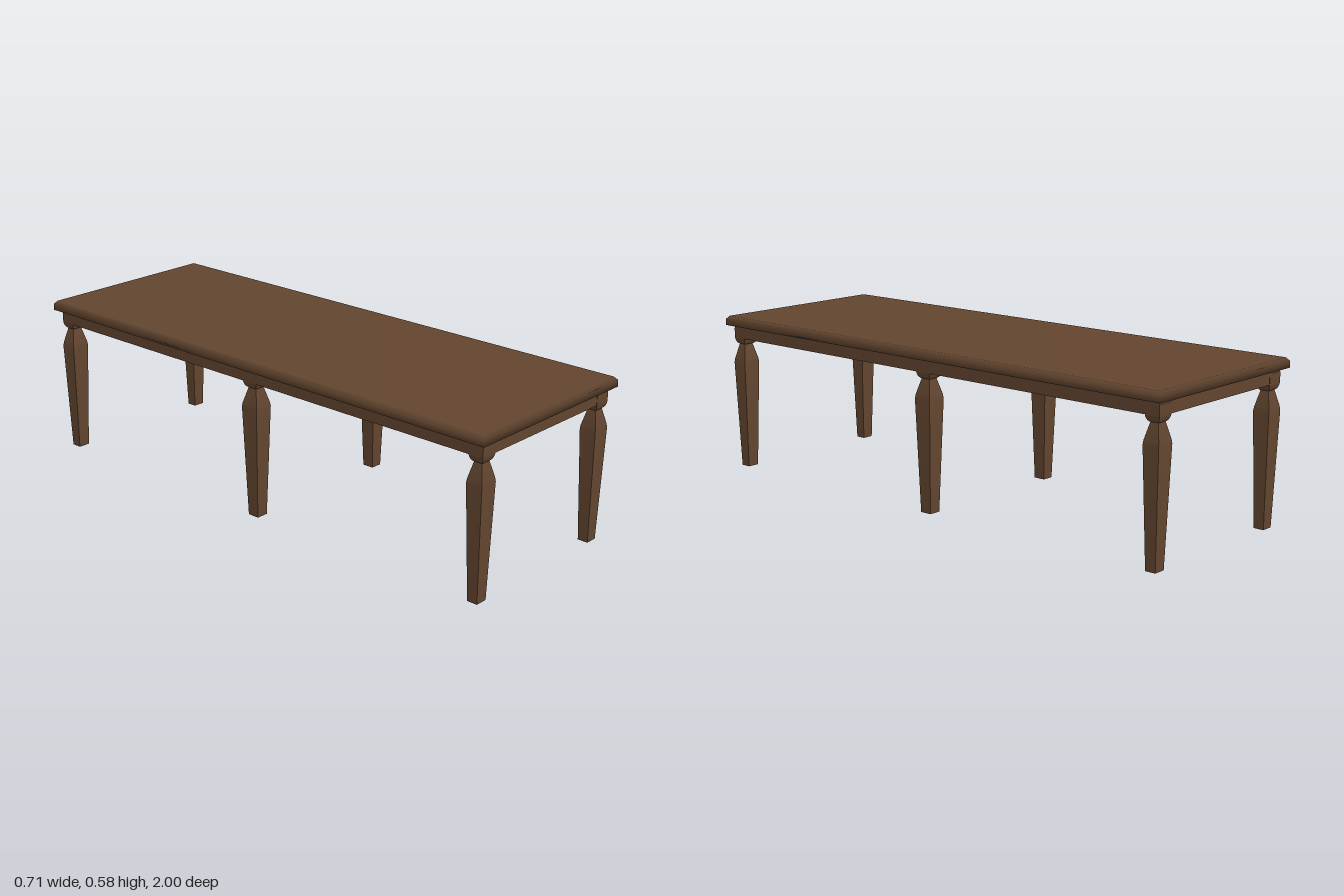
import * as THREE from 'three';
import { toCreasedNormals } from 'three/addons/utils/BufferGeometryUtils.js';

// Closed solid from stacked rectangles [y, halfX, halfZ], bottom to top
function loft(sections) {
  const pos = [], idx = [];
  for (const [y, hx, hz] of sections) {
    pos.push(-hx, y, hz, hx, y, hz, hx, y, -hz, -hx, y, -hz);
  }
  for (let s = 0; s < sections.length - 1; s++) {
    for (let i = 0; i < 4; i++) {
      const a = s * 4 + i, b = s * 4 + (i + 1) % 4;
      idx.push(a, b, b + 4, a, b + 4, a + 4);
    }
  }
  const t = (sections.length - 1) * 4;
  idx.push(0, 2, 1, 0, 3, 2, t, t + 1, t + 2, t, t + 2, t + 3);
  const geo = new THREE.BufferGeometry();
  geo.setAttribute('position', new THREE.Float32BufferAttribute(pos, 3));
  geo.setIndex(idx);
  geo.computeVertexNormals();
  return geo;
}

export function createModel() {
  const model = new THREE.Group();
  model.name = 'longTable';
  const wood = new THREE.MeshStandardMaterial({ color: 0x62452f });
  wood.name = 'darkWood';

  const add = (parent, name, geo) => {
    const mesh = new THREE.Mesh(geo, wood);
    mesh.name = name;
    parent.add(mesh);
    return mesh;
  };

  // Tabletop with a softly shaded bevelled rim
  add(model, 'tabletop', loft([
    [0.542, 0.357, 1], [0.565, 0.357, 1], [0.577, 0.346, 0.989],
  ]));

  // Solid apron under the top
  const apron = add(model, 'apron', new THREE.BoxGeometry(0.666, 0.05, 1.958));
  apron.position.y = 0.519;

  // Square tapered leg and rounded cap profiles: [y, half width]
  const legProfile = [[0, 0.022], [0.401, 0.0345], [0.415, 0.0325], [0.471, 0.0175]];
  const capProfile = [
    [0.47, 0.016], [0.4715, 0.02], [0.475, 0.024], [0.481, 0.0275],
    [0.488, 0.03], [0.495, 0.031], [0.53, 0.031],
  ];

  // Three pairs of legs; the end pairs are slightly thinner front to back
  for (const z of [-0.953, 0, 0.953]) {
    const depth = z === 0 ? 1 : 0.87;
    const build = (profile) => toCreasedNormals(
      loft(profile.map(([y, h]) => [y, h, h * depth])), Math.PI / 5);
    const legGeo = build(legProfile), capGeo = build(capProfile);
    for (const side of [-1, 1]) {
      const leg = new THREE.Group();
      leg.name = (z > 0 ? 'front' : z < 0 ? 'back' : 'middle') + (side > 0 ? 'LeftLeg' : 'RightLeg');
      add(leg, 'legPost', legGeo);
      add(leg, 'legCap', capGeo);
      leg.position.set(side * 0.302, 0, z);
      model.add(leg);
    }
  }
  return model;
}
